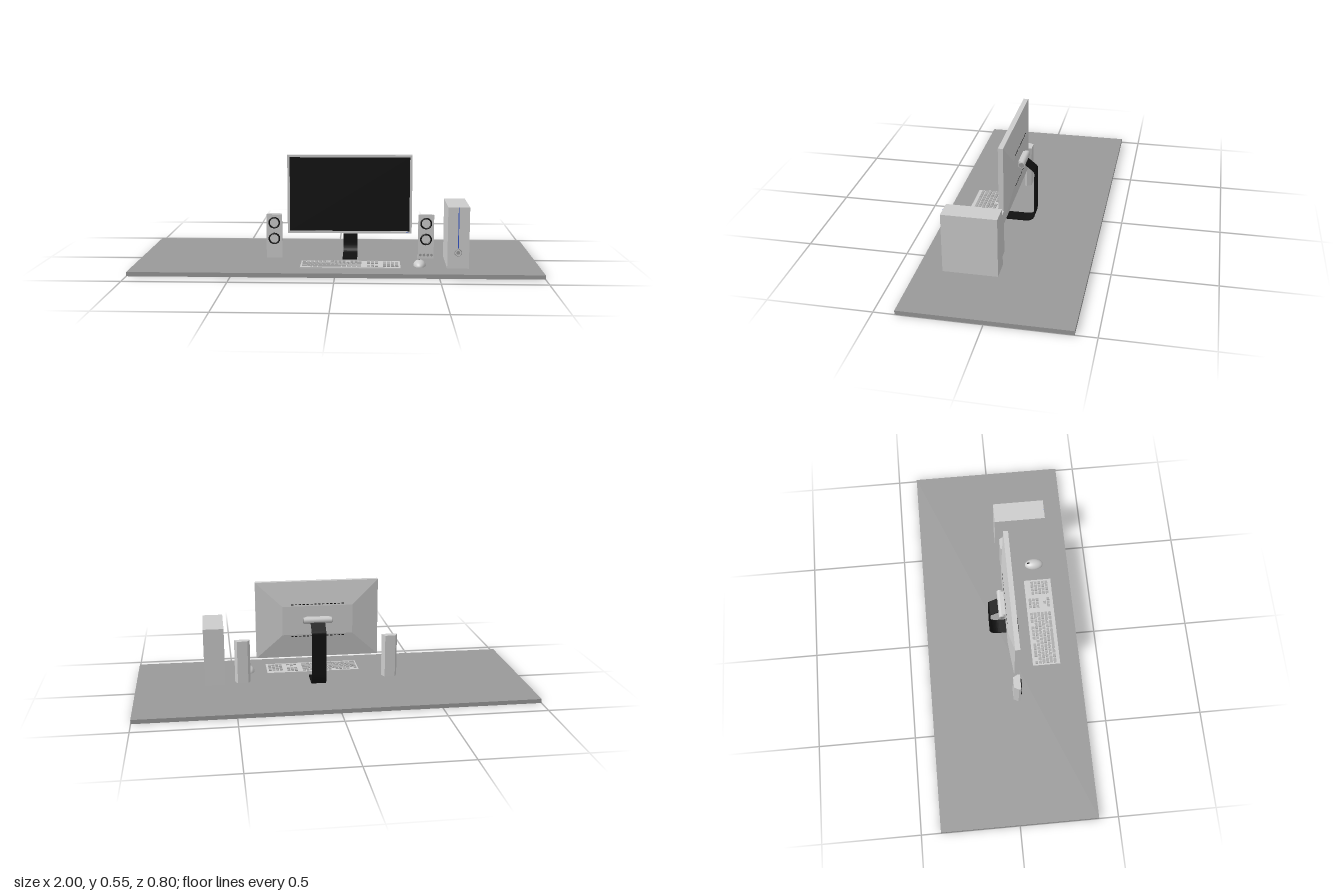
import * as THREE from 'three';
import { mergeGeometries } from 'three/addons/utils/BufferGeometryUtils.js';
import { ConvexGeometry } from 'three/addons/geometries/ConvexGeometry.js';

const material = (color) => new THREE.MeshStandardMaterial({ color });
const grey = material(0xcccccc);
const deskGrey = material(0x999999);
const keyGrey = material(0xaaaaaa);
const black = material(0x111111);
const blue = material(0x3355cc);

const TOP = 0.021; // desk surface height

function part(name, geometry, mat, parent) {
  const mesh = new THREE.Mesh(geometry, mat);
  mesh.name = name;
  parent.add(mesh);
  return mesh;
}

function group(name, parent) {
  const g = new THREE.Group();
  g.name = name;
  parent.add(g);
  return g;
}

// Box given by its minimum and maximum corners
function box(x0, x1, y0, y1, z0, z1) {
  return new THREE.BoxGeometry(x1 - x0, y1 - y0, z1 - z0)
    .translate((x0 + x1) / 2, (y0 + y1) / 2, (z0 + z1) / 2);
}

const ring = (r, tube, x, y, z) => new THREE.TorusGeometry(r, tube, 8, 32).translate(x, y, z);
const disc = (r, depth, x, y, z) =>
  new THREE.CylinderGeometry(r, r, depth, 24).rotateX(Math.PI / 2).translate(x, y, z);

function addMonitor(root) {
  const monitor = group('monitor', root);
  const cx = 0.065, cy = 0.35;

  // Bezel frame with a recessed screen
  const frame = new THREE.Shape([
    new THREE.Vector2(-0.315, -0.2), new THREE.Vector2(0.315, -0.2),
    new THREE.Vector2(0.315, 0.2), new THREE.Vector2(-0.315, 0.2)]);
  frame.holes.push(new THREE.Path([
    new THREE.Vector2(-0.303, -0.188), new THREE.Vector2(-0.303, 0.188),
    new THREE.Vector2(0.303, 0.188), new THREE.Vector2(0.303, -0.188)]));
  part('bezel', new THREE.ExtrudeGeometry(frame, { depth: 0.025, bevelEnabled: false })
    .translate(cx, cy, 0.04), grey, monitor);
  part('screen', box(cx - 0.303, cx + 0.303, cy - 0.188, cy + 0.188, 0.041, 0.062), black, monitor);
  part('powerLight', box(0.35, 0.365, 0.154, 0.157, 0.064, 0.066), blue, monitor);

  // Tapered back shell
  const corners = [];
  for (const sx of [-1, 1]) for (const sy of [-1, 1]) {
    corners.push(new THREE.Vector3(cx + sx * 0.315, cy + sy * 0.2, 0.04));
    corners.push(new THREE.Vector3(cx + sx * 0.18, cy + sy * 0.075, 0.018));
  }
  part('backShell', new ConvexGeometry(corners), grey, monitor);

  // Two rows of vent slots
  const vents = [];
  for (const sy of [-1, 1]) for (let i = 0; i < 14; i++) {
    const x = cx - 0.13 + i * 0.02;
    vents.push(box(x - 0.006, x + 0.006, cy + sy * 0.084 - 0.002, cy + sy * 0.084 + 0.002, 0.0185, 0.022));
  }
  part('vents', mergeGeometries(vents), black, monitor);

  // Hinge barrel with end caps and mounting block
  const barrel = (r, length, x) => new THREE.CylinderGeometry(r, r, length, 32)
    .rotateZ(Math.PI / 2).translate(x, 0.353, 0);
  part('hinge', barrel(0.016, 0.144, 0.067), grey, monitor);
  for (const s of [-1, 1]) part('hingeCap', barrel(0.013, 0.002, 0.067 + s * 0.073), deskGrey, monitor);
  part('hingeMount', box(0.005, 0.129, 0.337, 0.369, 0, 0.02), grey, monitor);

  // Bent strip stand: a path in (z, y) thickened and extruded across x
  const path = new THREE.Path();
  path.moveTo(-0.008, 0.346);
  path.lineTo(-0.053, 0.309);
  path.quadraticCurveTo(-0.061, 0.303, -0.061, 0.293);
  path.lineTo(-0.061, 0.08);
  path.bezierCurveTo(-0.061, 0.04, -0.045, 0.024, -0.01, 0.024);
  path.lineTo(0.094, 0.024);
  const pts = path.getPoints(12);
  const offset = (d) => pts.map((p, i) => {
    const a = pts[Math.max(i - 1, 0)], b = pts[Math.min(i + 1, pts.length - 1)];
    const t = b.clone().sub(a).normalize();
    return new THREE.Vector2(p.x - t.y * d, p.y + t.x * d);
  });
  const strip = new THREE.Shape([...offset(0.003), ...offset(-0.003).reverse()]);
  part('stand', new THREE.ExtrudeGeometry(strip, { depth: 0.074, bevelEnabled: false })
    .rotateY(-Math.PI / 2).translate(0.104, 0, 0), black, monitor);
}

function addSpeaker(root, name, x, hasControls) {
  const speaker = group(name, root);
  speaker.position.x = x;

  // Cabinet narrows toward the back
  const plan = new THREE.Shape([
    new THREE.Vector2(-0.04, -0.065), new THREE.Vector2(0.04, -0.065),
    new THREE.Vector2(0.04, -0.054), new THREE.Vector2(0.027, -0.029),
    new THREE.Vector2(-0.027, -0.029), new THREE.Vector2(-0.04, -0.054)]);
  part('cabinet', new THREE.ExtrudeGeometry(plan, { depth: 0.225, bevelEnabled: false })
    .rotateX(-Math.PI / 2).translate(0, TOP, 0), grey, speaker);

  for (const y of [0.203, 0.121]) {
    part('driverRing', ring(0.026, 0.004, 0, y, 0.067), black, speaker);
    part('driverCone', disc(0.023, 0.002, 0, y, 0.0655), grey, speaker);
  }
  if (hasControls) {
    for (const i of [-1.5, -0.5, 0.5, 1.5]) {
      part('knob', disc(0.0065, 0.014, i * 0.019, 0.042, 0.07), deskGrey, speaker);
    }
  }
}

function addTower(root) {
  const tower = group('computerTower', root);
  const x = 0.597;
  part('case', box(0.545, 0.65, TOP, 0.323, 0.011, 0.278), grey, tower);
  part('lightStrip', box(x - 0.002, x + 0.002, 0.122, 0.323, 0.277, 0.279), blue, tower);
  part('powerRing', ring(0.017, 0.0015, x, 0.1, 0.278), deskGrey, tower);
  part('powerButton', disc(0.009, 0.002, x, 0.1, 0.2785), deskGrey, tower);
}

function addKeyboard(root) {
  const keyboard = group('keyboard', root);
  part('base', box(-0.173, 0.318, TOP, 0.027, 0.15, 0.296), grey, keyboard);

  const keys = [];
  const pitch = 0.0197;
  // Key widths per row, in units of one pitch
  const ones = (n) => Array(n).fill(1);
  const rows = [
    ones(15), [...ones(13), 2], [1.5, ...ones(12), 1.5],
    [1.75, ...ones(11), 2.25], [2.25, ...ones(10), 2.75], [1.5, 1.25, 1.25, 6, 1.25, 1.25, 1.25, 1.25],
  ];
  const addKey = (x, row, w) => {
    const z = 0.164 + row * pitch;
    keys.push(box(x + 0.0025, x + w * pitch - 0.0025, 0.026, 0.031, z, z + 0.0145));
  };
  rows.forEach((widths, row) => {
    let x = -0.167;
    widths.forEach((w, i) => {
      if (row > 0 || i % 5 !== 1) addKey(x, row, w);
      x += w * pitch;
    });
    // Navigation cluster with arrows, then the number pad
    for (let i = 0; i < 3; i++) {
      if (row < 3 || row === 5 || (row === 4 && i === 1)) addKey(0.152 + i * pitch, row, 1);
    }
    if (row > 0) for (let i = 0; i < 4; i++) addKey(0.231 + i * pitch, row, 1);
  });
  part('keys', mergeGeometries(keys), keyGrey, keyboard);
}

function addMouse(root) {
  const mouse = group('mouse', root);
  mouse.position.set(0.414, TOP, 0.215);
  part('shell', new THREE.SphereGeometry(1, 32, 12, 0, Math.PI * 2, 0, Math.PI / 2)
    .scale(0.031, 0.028, 0.05), grey, mouse);
  part('underside', new THREE.CircleGeometry(1, 32).rotateX(Math.PI / 2)
    .scale(0.031, 1, 0.05), grey, mouse);
  part('wheel', new THREE.CylinderGeometry(0.009, 0.009, 0.006, 20)
    .rotateZ(Math.PI / 2).translate(0, 0.017, -0.03), black, mouse);
}

export function createModel() {
  const root = new THREE.Group();
  root.name = 'desktopComputerSet';
  part('deskTop', box(-1, 1, 0, TOP, -0.4, 0.4), deskGrey, root);
  addMonitor(root);
  addSpeaker(root, 'rightSpeaker', -0.319, false);
  addSpeaker(root, 'leftSpeaker', 0.453, true);
  addTower(root);
  addKeyboard(root);
  addMouse(root);
  return root;
}
